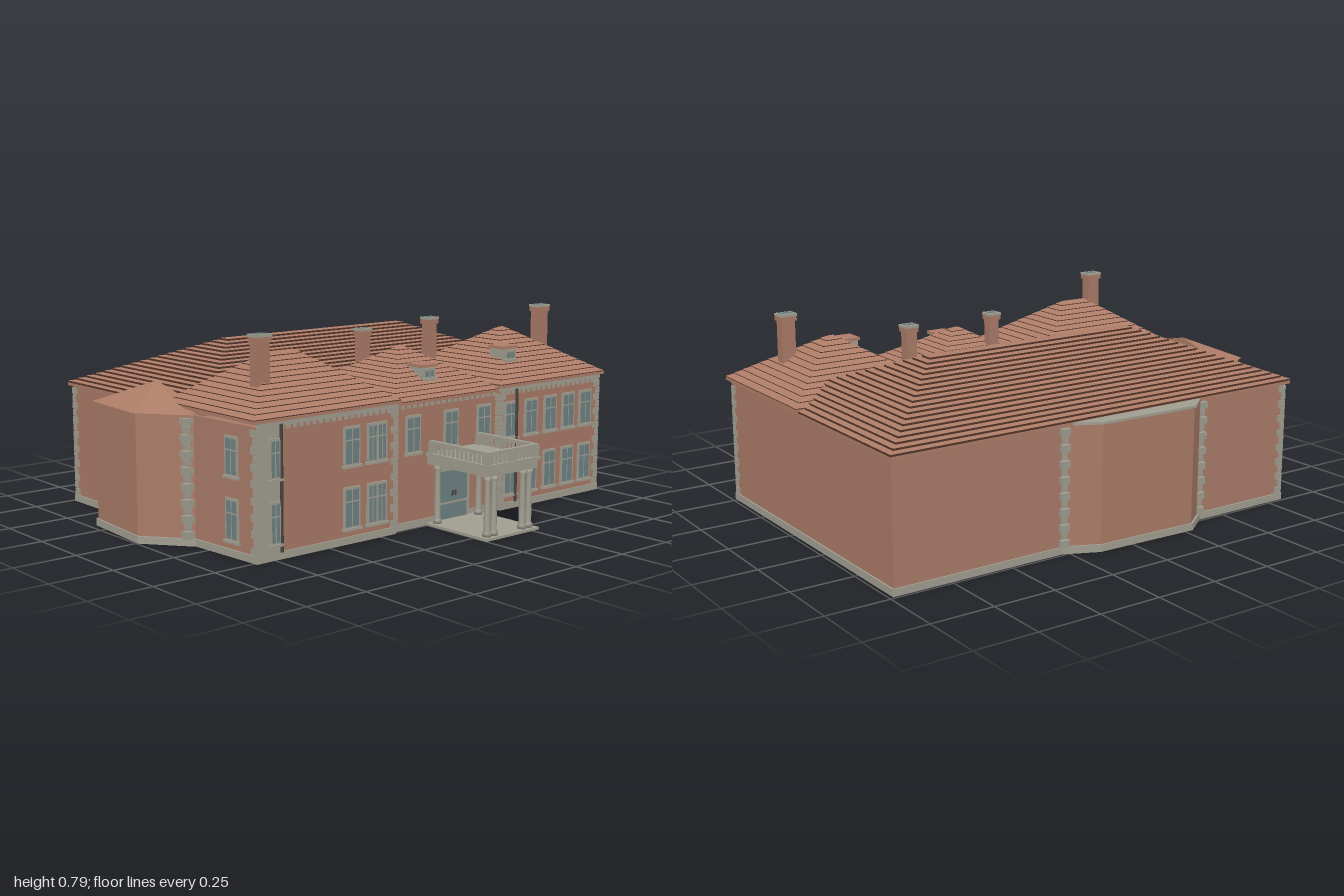
import * as THREE from 'three';
import { ConvexGeometry } from 'three/addons/geometries/ConvexGeometry.js';

const mat = (name, color) => Object.assign(new THREE.MeshStandardMaterial({ color }), { name });

export function createModel() {
  const model = new THREE.Group();
  model.name = 'manorHouse';
  const brick = mat('brick', 0xa87a66), tile = mat('roofTile', 0xac7c67), shade = mat('tileEdge', 0x54352a);
  const stone = mat('stone', 0xa09d90), glass = mat('glass', 0x6d8081), iron = mat('darkIron', 0x45403c);

  const add = (name, geo, material, parent = model) => {
    const m = new THREE.Mesh(geo, material);
    m.name = name;
    parent.add(m);
    return m;
  };
  // Box given by its centre in x and z, and its bottom and top in y
  const box = (name, material, x, z, w, d, y0, y1, parent) => {
    const m = add(name, new THREE.BoxGeometry(w, y1 - y0, d), material, parent);
    m.position.set(x, (y0 + y1) / 2, z);
    return m;
  };
  // Flat slab from an x,z outline
  const slab = (name, material, pts, y0, y1) => {
    const shape = new THREE.Shape(pts.map(([x, z]) => new THREE.Vector2(x, -z)));
    const geo = new THREE.ExtrudeGeometry(shape, { depth: y1 - y0, bevelEnabled: false });
    geo.rotateX(-Math.PI / 2).translate(0, y0, 0);
    return add(name, geo, material);
  };

  // Walls with a side bay and a shallow rear bay
  const plan = [[-0.825, 0.51], [-0.17, 0.51], [-0.17, 0.49], [0.38, 0.49], [0.38, 0.51], [0.98, 0.51],
    [0.98, -0.735], [0.27, -0.735], [0.14, -0.795], [-0.28, -0.81], [-0.38, -0.735], [-0.82, -0.735],
    [-0.82, -0.41], [-0.965, -0.32], [-0.99, 0], [-0.87, 0.15], [-0.85, 0.17]];
  slab('walls', brick, plan, 0.025, 0.485);
  const cx = 0.02, cz = -0.1;
  slab('plinth', stone, plan.map(([x, z]) => [x + 0.006 * Math.sign(x - cx), z + 0.006 * Math.sign(z - cz)]), 0, 0.028);
  slab('rearBayTop', stone, [[0.28, -0.73], [0.14, -0.805], [-0.28, -0.82], [-0.385, -0.73]], 0.483, 0.493);

  // Hipped roof laid in courses: sloping treads and darker risers
  const hipRoof = (name, x0, x1, z0, z1, rx0, rx1, rz, y0, y1, n, riser) => {
    const ring = (t, y) => {
      const l = THREE.MathUtils.lerp, a = l(x0, rx0, t), b = l(x1, rx1, t), f = l(z1, rz, t), k = l(z0, rz, t);
      return [[a, y, f], [b, y, f], [b, y, k], [a, y, k]];
    };
    const sets = [[], []];
    const band = (out, lo, hi) => {
      for (let i = 0; i < 4; i++) {
        const j = (i + 1) % 4;
        out.push(...lo[i], ...lo[j], ...hi[j], ...lo[i], ...hi[j], ...hi[i]);
      }
    };
    const h = (y1 - y0) / n;
    for (let i = 0; i < n; i++) {
      const y = y0 + h * i, t = i / n, u = (i + 1) / n;
      band(sets[1], ring(t, y), ring(t, y + h * riser));
      band(sets[0], ring(t, y + h * riser), ring(u, y + h));
    }
    const geo = new THREE.BufferGeometry();
    geo.setAttribute('position', new THREE.Float32BufferAttribute(sets[0].concat(sets[1]), 3));
    geo.addGroup(0, sets[0].length / 3, 0);
    geo.addGroup(sets[0].length / 3, sets[1].length / 3, 1);
    geo.computeVertexNormals();
    add(name, geo, [tile, shade]);
    box(name + 'Eaves', tile, (x0 + x1) / 2, (z0 + z1) / 2, x1 - x0, z1 - z0, y0 - 0.012, y0);
  };
  hipRoof('mainRoof', -0.835, 0.99, -0.75, 0.21, -0.37, 0.53, -0.27, 0.495, 0.688, 18, 0.7);
  hipRoof('leftWingRoof', -0.845, -0.16, -0.04, 0.522, -0.56, -0.45, 0.24, 0.51, 0.7, 12, 0.2);
  hipRoof('centreRoof', -0.18, 0.39, -0.06, 0.505, 0.11, 0.13, 0.21, 0.495, 0.66, 12, 0.2);
  hipRoof('rightWingRoof', 0.375, 1, -0.09, 0.522, 0.68, 0.7, 0.215, 0.51, 0.695, 12, 0.2);
  const bayEdge = [[-0.8, -0.42], [-0.975, -0.325], [-1, 0], [-0.875, 0.16], [-0.78, 0.16]];
  add('sideBayRoof', new ConvexGeometry([...bayEdge.map(([x, z]) => new THREE.Vector3(x, 0.487, z)),
    new THREE.Vector3(-0.79, 0.568, -0.16)]), tile);

  // Cornice with small blocks under the front eaves
  for (const [a, b, z] of [[-0.82, -0.17, 0.51], [-0.17, 0.38, 0.49], [0.38, 0.98, 0.51]]) {
    box('cornice', stone, (a + b) / 2, z, b - a, 0.016, 0.482, 0.5);
    const n = Math.round((b - a) / 0.03);
    for (let i = 0; i < n; i++) box('corniceBlock', stone, a + (i + 0.5) * (b - a) / n, z, 0.014, 0.014, 0.468, 0.484);
  }

  // Corner stones, alternately long and short
  for (const [x, z, sx, sz] of [[-0.825, 0.51, -1, 1], [-0.17, 0.51, 1, 1], [0.38, 0.51, -1, 1], [0.98, 0.51, 1, 1],
    [-0.82, -0.735, -1, -1], [-0.82, -0.41, 0, 0], [-0.87, 0.15, 0, 0], [0.27, -0.735, 0, 0], [-0.38, -0.735, 0, 0]]) {
    for (let i = 0; i < 15; i++) {
      const w = i % 2 ? 0.022 : 0.036, y = 0.028 + i * 0.03;
      box('cornerStone', stone, x - sx * (w / 2 - 0.004), z - sz * (w / 2 - 0.004), w, w, y, y + 0.027);
    }
  }
  box('cornerPanel', stone, -0.77, 0.512, 0.11, 0.008, 0.028, 0.485);
  for (const x of [-0.725, 0.468]) {
    const pipe = add('drainPipe', new THREE.CylinderGeometry(0.006, 0.006, 0.46, 8), iron);
    pipe.position.set(x, 0.258, 0.522);
  }

  // Windows: stone surround, sill and two columns of panes
  const windowAt = (x, y, z, w, h, turn = 0) => {
    const g = new THREE.Group();
    g.name = 'window';
    g.position.set(x, y, z);
    g.rotation.y = turn;
    model.add(g);
    box('windowFrame', stone, 0, 0.003, w, 0.008, 0, h, g);
    box('windowSill', stone, 0, 0.006, w + 0.012, 0.014, -0.004, 0.006, g);
    const pw = w / 2 - 0.011;
    for (const s of [-1, 1]) {
      box('lowerPane', glass, s * (pw / 2 + 0.003), 0.006, pw, 0.005, 0.012, h * 0.64, g);
      box('upperPane', glass, s * (pw / 2 + 0.003), 0.006, pw, 0.005, h * 0.68, h - 0.01, g);
    }
  };
  for (const [y, h] of [[0.29, 0.15], [0.055, 0.16]]) {
    for (const x of [-0.395, -0.296, -0.25]) windowAt(x, y, 0.511, x < -0.35 ? 0.078 : 0.05, h);
    for (const x of [0.442, 0.56, 0.675, 0.785, 0.892]) windowAt(x, y, 0.511, 0.075, h);
    windowAt(-0.752, y, 0.516, 0.05, h);
    windowAt(-0.834, y, 0.38, 0.07, h, -Math.PI / 2 + 0.07);
  }
  for (const x of [-0.072, 0.128, 0.308]) windowAt(x, 0.29, 0.491, 0.075, 0.15);

  // Entrance doors
  box('doorSurround', stone, 0.14, 0.492, 0.18, 0.012, 0.01, 0.235);
  for (const s of [-1, 1]) {
    box('doorLeaf', glass, 0.14 + s * 0.037, 0.499, 0.07, 0.006, 0.01, 0.2);
    box('doorRail', stone, 0.14 + s * 0.037, 0.502, 0.07, 0.004, 0.07, 0.078);
    box('doorHandle', iron, 0.14 + s * 0.008, 0.504, 0.006, 0.006, 0.1, 0.12);
  }

  // Porch: floor, columns, entablature and balustrade
  box('porchFloor', stone, 0.142, 0.655, 0.285, 0.33, 0, 0.01);
  const profile = [[0, 0], [0.017, 0], [0.017, 0.015], [0.012, 0.022], [0.0125, 0.08], [0.01, 0.205],
    [0.015, 0.212], [0.015, 0.23], [0, 0.23]].map(([x, y]) => new THREE.Vector2(x, y));
  const column = new THREE.LatheGeometry(profile, 14);
  for (const [x, z] of [[0.03, 0.79], [0.254, 0.79], [0.065, 0.79], [0.219, 0.79], [0.03, 0.525], [0.254, 0.525]])
    add('porchColumn', column, stone).position.set(x, 0.01, z);
  box('porchBeam', stone, 0.142, 0.65, 0.27, 0.32, 0.24, 0.272);
  box('porchDeck', stone, 0.142, 0.655, 0.285, 0.33, 0.272, 0.286);
  const rail = (x0, z0, x1, z1) => {
    const len = Math.hypot(x1 - x0, z1 - z0), n = Math.round(len / 0.022);
    const w = Math.abs(x1 - x0) + 0.018, d = Math.abs(z1 - z0) + 0.018;
    box('handRail', stone, (x0 + x1) / 2, (z0 + z1) / 2, w, d, 0.322, 0.334);
    for (let i = 0; i <= n; i++) {
      const t = i / n, post = i === 0 || i === n || i === n / 2;
      box('baluster', stone, x0 + (x1 - x0) * t, z0 + (z1 - z0) * t, post ? 0.022 : 0.009, post ? 0.022 : 0.009, 0.285, 0.325);
    }
  };
  rail(0.014, 0.806, 0.27, 0.806);
  for (const x of [0.014, 0.27]) rail(x, 0.51, x, 0.806);

  // Chimneys with caps and pots
  for (const [x, z, w, d, y0, y1] of [[-0.69, 0.355, 0.056, 0.045, 0.54, 0.785], [0.02, 0.095, 0.042, 0.042, 0.56, 0.728],
    [0.445, 0.035, 0.044, 0.044, 0.55, 0.738], [0.84, 0.295, 0.056, 0.045, 0.54, 0.785]]) {
    box('chimneyStack', brick, x, z, w, d, y0, y1 - 0.02);
    box('chimneyCorbel', brick, x, z, w + 0.012, d + 0.008, y1 - 0.028, y1 - 0.008);
    box('chimneyCap', stone, x, z, w + 0.016, d + 0.01, y1 - 0.01, y1);
    for (const s of [-1, 1]) box('chimneyFlue', glass, x + s * w * 0.26, z, w * 0.4, d * 0.6, y1 - 0.002, y1 + 0.002);
  }

  // Roof dormers
  for (const [x, y] of [[0.092, 0.55], [0.545, 0.583]]) {
    box('dormerBody', stone, x, 0.365, 0.07, 0.075, y - 0.02, y + 0.05);
    box('dormerRoof', tile, x, 0.368, 0.086, 0.085, y + 0.048, y + 0.06);
    windowAt(x, y, 0.403, 0.06, 0.045);
  }
  return model;
}
